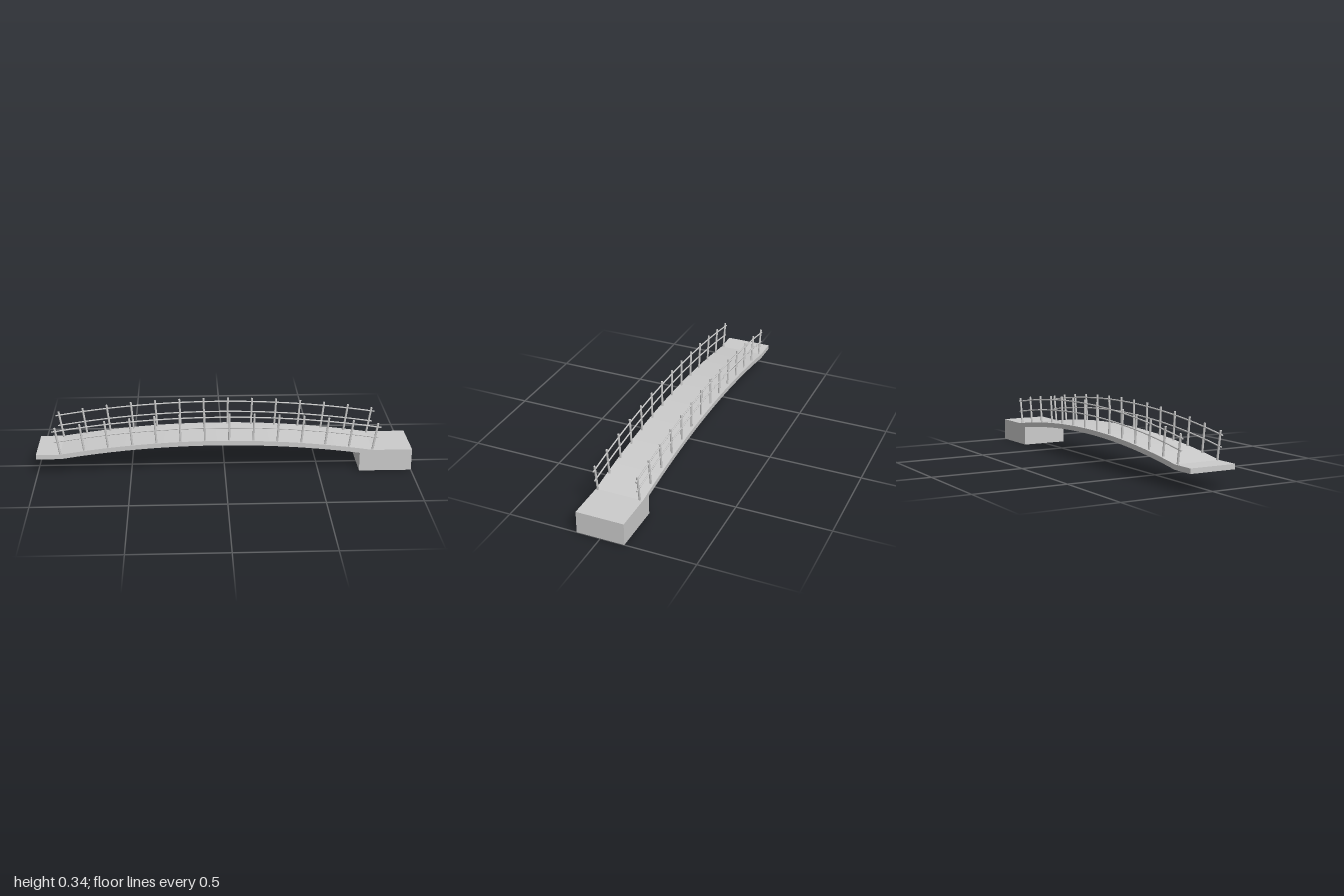
import * as THREE from 'three';

const CX = -0.042, CY = -5.064, R = 5.25;   // centre and radius of the deck arc
const HALF = 0.1588;                        // half angle spanned by the arc
const WIDTH = 0.255;
const onArc = (r, a) => new THREE.Vector2(CX + r * Math.sin(a), CY + r * Math.cos(a));

const material = new THREE.MeshStandardMaterial({ color: 0xcccccc });

function arcPoints(r, from, to, n) {
  return Array.from({ length: n + 1 }, (_, i) => onArc(r, from + (to - from) * i / n));
}

// Arched deck with a flat landing at one end and a solid abutment at the other
function makeDeck() {
  const under = R - 0.026;
  const outline = [
    new THREE.Vector2(-1, 0.12),
    ...arcPoints(R, -HALF, HALF, 24),
    new THREE.Vector2(1, 0.12),
    new THREE.Vector2(1, 0),
    new THREE.Vector2(0.72, 0),
    ...arcPoints(under, Math.asin((0.72 - CX) / under), -HALF, 24),
    new THREE.Vector2(-1, 0.094),
  ];
  const geometry = new THREE.ExtrudeGeometry(new THREE.Shape(outline), { depth: WIDTH, bevelEnabled: false });
  geometry.translate(0, 0, -WIDTH / 2);
  const deck = new THREE.Mesh(geometry, material);
  deck.name = 'deck';
  return deck;
}

// Posts standing square to the arc, joined by two curved rails
function makeRailing(name, z) {
  const railing = new THREE.Group();
  railing.name = name;
  railing.position.z = z;

  const count = 14, height = 0.155;
  const postGeometry = new THREE.CylinderGeometry(0.0057, 0.0057, height, 10);
  for (let i = 0; i < count; i++) {
    const a = HALF * (2 * i / (count - 1) - 1);
    const p = onArc(R - 0.005 + height / 2, a);
    const post = new THREE.Mesh(postGeometry, material);
    post.name = 'post';
    post.position.set(p.x, p.y, 0);
    post.rotation.z = -a;
    railing.add(post);
  }

  for (const [railName, rise] of [['topRail', 0.13], ['middleRail', 0.071]]) {
    const path = new THREE.CatmullRomCurve3(
      arcPoints(R + rise, -0.1625, 0.1625, 12).map(p => new THREE.Vector3(p.x, p.y, 0)));
    const rail = new THREE.Mesh(new THREE.TubeGeometry(path, 32, 0.004, 8), material);
    rail.name = railName;
    railing.add(rail);
    // Closed rail ends
    for (const s of [-1, 1]) {
      const p = onArc(R + rise, s * 0.1625);
      const cap = new THREE.Mesh(new THREE.CircleGeometry(0.004, 8), material);
      cap.name = railName + 'End';
      cap.position.set(p.x, p.y, 0);
      cap.rotation.set(0, s * Math.PI / 2, -s * 0.1625, 'ZYX');
      railing.add(cap);
    }
  }
  return railing;
}

export function createModel() {
  const bridge = new THREE.Group();
  bridge.name = 'footbridge';
  bridge.add(makeDeck(), makeRailing('frontRailing', 0.1165), makeRailing('backRailing', -0.111));
  return bridge;
}
